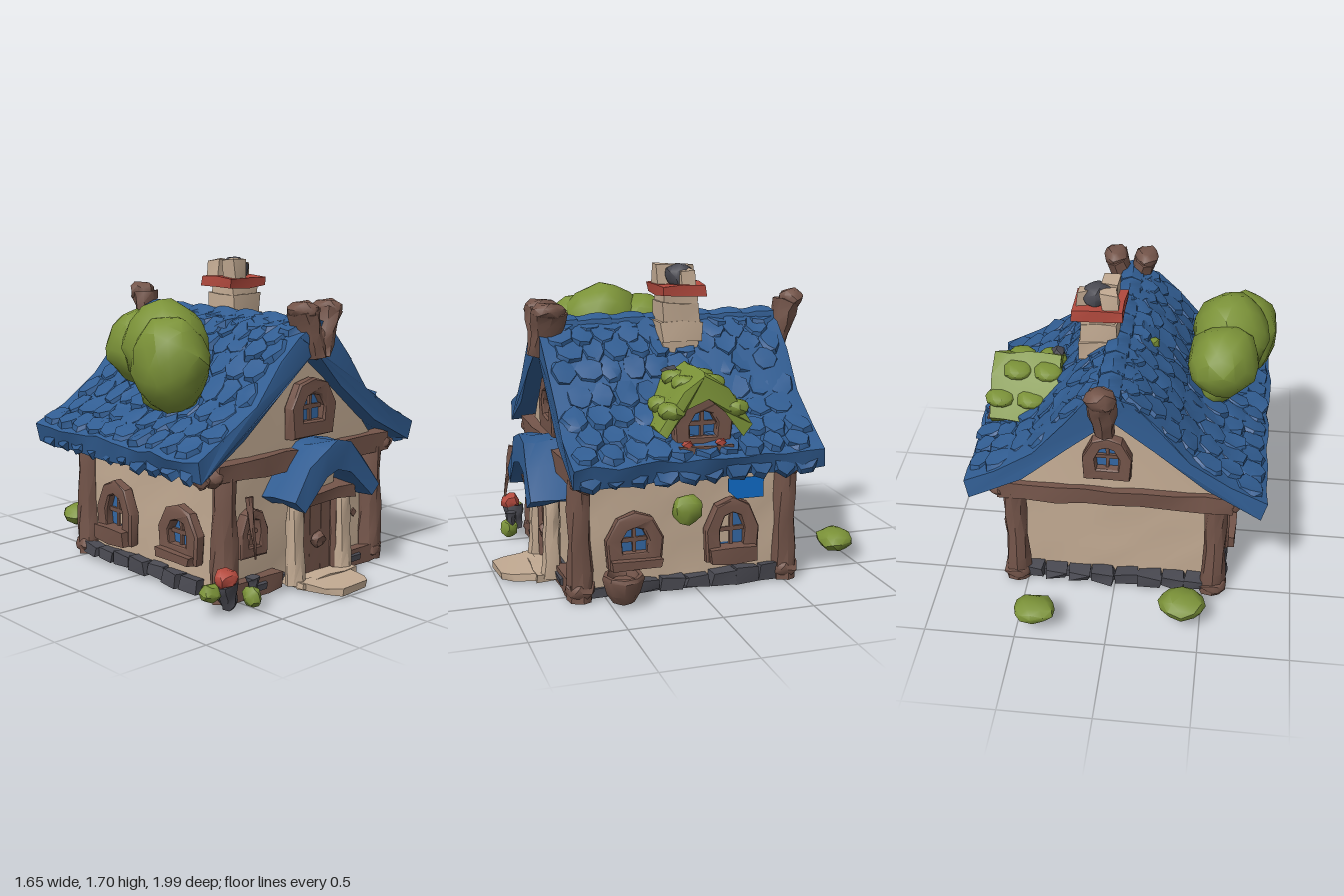
import * as THREE from 'three';
import { mergeGeometries, toCreasedNormals } from 'three/addons/utils/BufferGeometryUtils.js';

const mat = (name, color) => Object.assign(new THREE.MeshStandardMaterial({ color }), { name });

export function createModel() {
  const house = new THREE.Group();
  house.name = 'cottage';
  const M = {
    roof: mat('roof blue', 0x315d92), wood: mat('brown wood', 0x74554a), plaster: mat('plaster', 0xc3ab93),
    leaf: mat('leaf green', 0x7b9238), red: mat('clay red', 0xb34a3e), stone: mat('dark stone', 0x4a4a52),
    glass: mat('window blue', 0x3468a4), bright: mat('bright blue', 0x0f6cc8),
  };
  let seed = 7;
  const rnd = () => ((seed = (seed * 16807) % 2147483647) / 2147483647) - 0.5;

  // Hand-hewn look: shift vertices by a hash of their position, so shared corners stay joined
  const hash = (x, y, z) => { const s = Math.sin(x * 127.1 + y * 311.7 + z * 74.7) * 43758.5453; return s - Math.floor(s) - 0.5; };
  function rough(geo, amp, crease = 0.55) {
    const p = geo.attributes.position;
    for (let i = 0; i < p.count; i++) {
      const [x, y, z] = [p.getX(i), p.getY(i), p.getZ(i)].map(v => Math.round(v * 1000) / 1000 + 0);
      p.setXYZ(i, x + amp * 2 * hash(x, y, z), y + amp * 2 * hash(y, z, x + 3), z + amp * 2 * hash(z, x, y + 5));
    }
    return toCreasedNormals(geo, crease);
  }
  function add(parent, name, geo, material, x = 0, y = 0, z = 0) {
    const m = new THREE.Mesh(geo, material);
    m.name = name;
    m.position.set(x, y, z);
    parent.add(m);
    return m;
  }
  const box = (parent, name, m, w, h, d, x, y, z, amp = 0.008) => {
    const n = v => Math.max(1, Math.min(8, Math.round(v / 0.12)));
    return add(parent, name, rough(new THREE.BoxGeometry(w, h, d, n(w), n(h), n(d)), amp), m, x, y, z);
  };
  const blob = (parent, name, m, x, y, z, rx, ry, rz, detail = 1, amp = 0.008) =>
    add(parent, name, rough(new THREE.IcosahedronGeometry(1, detail).scale(rx, ry, rz), amp, 0.7), m, x, y, z);
  // Tapered log between two points
  function limb(parent, name, m, a, b, ra, rb, amp = 0.008) {
    const A = new THREE.Vector3(...a), B = new THREE.Vector3(...b), d = B.clone().sub(A);
    const o = add(parent, name, rough(new THREE.CylinderGeometry(rb, ra, d.length(), 8, 4), amp, 0.7), m);
    o.position.copy(A).add(B).multiplyScalar(0.5);
    o.quaternion.setFromUnitVectors(new THREE.Vector3(0, 1, 0), d.normalize());
    return o;
  }
  const shapeOf = pts => new THREE.Shape(pts.map(p => new THREE.Vector2(...p)));
  const mirror = pts => pts.filter(p => p[0] > 0).map(p => [-p[0], p[1]]);
  // Bent roof slab from half of its outer and inner outlines, ridge first
  function slab(outer, inner, z0, z1, steps, amp) {
    const s = shapeOf([...mirror(outer).reverse(), ...outer, ...[...inner].reverse(), ...mirror(inner)]);
    return rough(new THREE.ExtrudeGeometry(s, { depth: z1 - z0, steps, bevelEnabled: false }).translate(0, 0, z0), amp);
  }
  const side = (name, angle) => {
    const g = new THREE.Group();
    g.name = name;
    g.rotation.y = angle;
    house.add(g);
    return g;
  };

  // Window with arched wooden frame, panes, bars and sill; bottom centre at x, y
  function windowAt(parent, x, y, z, w, h, boxHeight = 0) {
    const g = new THREE.Group();
    g.name = 'window';
    g.position.set(x, y, z);
    parent.add(g);
    const arch = (w, h, b) => [[-w * 0.46, b], [w * 0.46, b], [w / 2, b + h * 0.52], [w * 0.3, b + h * 0.9], [0, b + h], [-w * 0.3, b + h * 0.9], [-w / 2, b + h * 0.52]];
    const t = w * 0.22, s = shapeOf(arch(w, h, 0)), inner = arch(w - 2 * t, h - 2 * t, t);
    s.holes.push(new THREE.Path(inner.map(p => new THREE.Vector2(...p))));
    add(g, 'windowFrame', rough(new THREE.ExtrudeGeometry(s, { depth: 0.045, bevelSize: 0.008, bevelThickness: 0.01, bevelSegments: 1 }), 0.004), M.wood);
    add(g, 'glass', new THREE.ExtrudeGeometry(shapeOf(inner), { depth: 0.008, bevelEnabled: false }), M.glass);
    box(g, 'uprightBar', M.wood, 0.018, h - t, 0.02, 0, h / 2, 0.015, 0.002);
    box(g, 'crossBar', M.wood, w - t, 0.022, 0.02, 0, h * 0.5, 0.015, 0.002);
    if (boxHeight) box(g, 'flowerBox', M.wood, w * 0.92, boxHeight, 0.09, 0, boxHeight / 2 - 0.01, 0.05);
    return g;
  }

  // Inset lower walls, gable block and floor
  box(house, 'lowerWalls', M.plaster, 1.11, 0.7, 1.09, 0, 0.38, 0.07, 0.007);
  const gable = shapeOf([[-0.55, 0.66], [0.55, 0.66], [0.55, 0.74], [0.46, 0.85], [0.22, 1.09], [0, 1.29], [-0.22, 1.09], [-0.46, 0.85], [-0.55, 0.74]]);
  add(house, 'gable', rough(new THREE.ExtrudeGeometry(gable, { depth: 1.165, steps: 6, bevelEnabled: false }).translate(0, 0, -0.54), 0.006), M.plaster);
  box(house, 'floor', M.stone, 1.14, 0.05, 1.14, 0, 0.03, 0.06, 0.004);

  // Corner posts, beams and foundation stones
  for (const s of [-1, 1]) {
    for (const z of [0.635, -0.515]) {
      limb(house, 'cornerPost', M.wood, [s * 0.555, 0.01, z], [s * 0.555, 0.66, z], 0.07, 0.06);
      blob(house, 'postFoot', M.wood, s * 0.56, 0.06, z, 0.08, 0.055, 0.085);
      blob(house, 'beamEnd', M.wood, s * 0.635, 0.67, z + 0.01 * Math.sign(z), 0.055, 0.055, 0.055);
    }
    blob(house, 'rafterEnd', M.wood, s * 0.695, 0.66, 0.62, 0.035, 0.045, 0.05);
    box(house, 'sideBeam', M.wood, 0.07, 0.06, 1.14, s * 0.57, 0.66, 0.06);
    for (let i = 0; i < 7; i++)
      box(house, 'foundationStone', M.stone, 0.09, 0.07 + rnd() * 0.03, 0.13, s * (0.57 + rnd() * 0.03), 0.055, -0.42 + i * 0.14, 0.012).rotation.y = rnd() * 0.25;
    box(house, 'frontSill', M.wood, 0.34, 0.085, 0.09, s > 0 ? 0.43 : -0.36, 0.055, 0.65);
    box(house, 'frontStone', M.stone, 0.13, 0.04, 0.02, s > 0 ? 0.35 : -0.38, 0.055, 0.695, 0.005);
  }
  for (let i = 0; i < 8; i++)
    box(house, 'foundationStone', M.stone, 0.125, 0.07 + rnd() * 0.03, 0.09, -0.47 + i * 0.135, 0.055, -0.51 + rnd() * 0.02, 0.012).rotation.y = rnd() * 0.25;
  for (const z of [0.645, -0.535]) box(house, 'gableBeam', M.wood, 1.28, 0.1, 0.09, 0, 0.685, z, 0.01);

  // Main roof: slab, overlapping scales and ridge roll
  const top = [[0, 1.39], [0.12, 1.345], [0.25, 1.225], [0.42, 1.02], [0.62, 0.88], [0.81, 0.78]];
  const under = [[0, 1.24], [0.22, 1.06], [0.49, 0.83], [0.78, 0.67]];
  add(house, 'roofSlab', slab(top, under, -0.64, 0.72, 12, 0.014), M.roof);
  const tiles = [];
  const lerpTop = t => {
    const i = Math.min(4, Math.floor(t * 5)), f = t * 5 - i, [a, b] = [top[i], top[i + 1]];
    return { x: a[0] + (b[0] - a[0]) * f, y: a[1] + (b[1] - a[1]) * f, slope: Math.atan2(b[1] - a[1], b[0] - a[0]) };
  };
  const tile = (s, x, y, z, tilt) => {
    const g = new THREE.CylinderGeometry(0.08, 0.1, 0.032, 7);
    g.rotateY(rnd() * 2).scale(0.95 + rnd() * 0.25, 1, 0.8 + rnd() * 0.2);
    g.rotateX(rnd() * 0.16).rotateZ(tilt).translate(x, y, z);
    if (s < 0) g.rotateY(Math.PI).translate(0, 0, 0.08);
    tiles.push(rough(g, 0.008, 0.6));
  };
  for (const s of [-1, 1]) for (let c = 0; c < 10; c++) {
    for (let r = 0; r < 8; r++) {
      const p = lerpTop(0.12 + r * 0.115);
      tile(s, p.x - 0.015, p.y + 0.009, -0.545 + c * 0.125 + (r % 2) * 0.05 + rnd() * 0.02, p.slope + 0.08 + rnd() * 0.14);
    }
    tile(s, 0.765, 0.735, -0.54 + c * 0.13 + rnd() * 0.02, -1.15 + rnd() * 0.2);
  }
  add(house, 'roofTiles', mergeGeometries(tiles), M.roof);
  for (let i = 0; i < 7; i++)
    limb(house, 'ridgeTile', M.roof, [0.02, 1.345, -0.63 + i * 0.19], [0.02, 1.345, -0.42 + i * 0.19], 0.083, 0.078);

  // Carved ridge horns
  for (const s of [-1, 1]) {
    limb(house, 'frontHorn', M.wood, [0.04 + s * 0.015, 1.22, 0.69], [0.04 + s * 0.085, 1.46, 0.675], 0.055, 0.07).scale.z = 1.5;
    blob(house, 'frontHornTip', M.wood, 0.04 + s * 0.09, 1.465, 0.68, 0.07, 0.05, 0.1);
  }
  blob(house, 'hornRoot', M.wood, 0.045, 1.3, 0.69, 0.085, 0.1, 0.06);
  limb(house, 'backHorn', M.wood, [0.03, 1.21, -0.67], [0.04, 1.46, -0.73], 0.055, 0.08);
  blob(house, 'backHornTip', M.wood, 0.04, 1.47, -0.75, 0.078, 0.06, 0.072);

  // Chimney
  for (let i = 0; i < 3; i++)
    box(house, 'chimneyCourse', M.plaster, 0.2 + (i % 2) * 0.02, 0.11, 0.21 + (i % 2) * 0.02, 0.13, 1.24 + i * 0.1, -0.03, 0.01);
  box(house, 'chimneyNeck', M.plaster, 0.18, 0.08, 0.18, 0.13, 1.52, -0.03, 0.008);
  box(house, 'chimneyBand', M.red, 0.27, 0.06, 0.25, 0.13, 1.565, -0.035, 0.008);
  for (const [x, z, w, h] of [[0.07, -0.1, 0.08, 0.1], [0.08, 0.03, 0.1, 0.11], [0.215, -0.06, 0.07, 0.09]])
    box(house, 'chimneyStone', M.plaster, w, h, w, x, 1.58 + h / 2, z, 0.012);
  blob(house, 'chimneyCoal', M.stone, 0.145, 1.635, -0.045, 0.08, 0.07, 0.075);

  // Front face: windows, door and porch
  const front = side('front', 0);
  windowAt(front, 0.04, 0.8, 0.635, 0.32, 0.3);
  windowAt(front, -0.37, 0.22, 0.615, 0.18, 0.24);
  box(front, 'wallOrnament', M.wood, 0.035, 0.035, 0.008, 0.44, 0.29, 0.622, 0).rotation.z = Math.PI / 4;
  for (let i = 0; i < 3; i++) box(front, 'doorPlank', M.wood, 0.085, 0.4, 0.04, -0.025 + i * 0.085, 0.25, 0.67, 0.004);
  blob(front, 'doorKnob', M.wood, 0.06, 0.23, 0.71, 0.05, 0.045, 0.03);
  for (const x of [-0.125, 0.24]) {
    limb(front, 'porchColumn', M.plaster, [x, 0.02, 0.72], [x, 0.46, 0.71], 0.055, 0.042);
    limb(front, 'doorPost', M.wood, [x * 0.7 + 0.02, 0.05, 0.7], [x * 0.7 + 0.02, 0.46, 0.7], 0.02, 0.02, 0.004);
  }
  box(front, 'porchBeam', M.wood, 0.4, 0.065, 0.14, 0.06, 0.485, 0.72);
  const porch = slab([[0, 0.785], [0.1, 0.77], [0.2, 0.67], [0.33, 0.51]], [[0, 0.64], [0.1, 0.61], [0.25, 0.46]], 0.6, 0.85, 3, 0.012);
  add(front, 'porchRoof', porch, M.roof, 0.06);
  box(front, 'porchGable', M.plaster, 0.26, 0.14, 0.06, 0.06, 0.57, 0.67);
  const step = shapeOf([[-0.14, -0.75], [0.24, -0.75], [0.2, -0.92], [0.15, -0.98], [-0.05, -0.99], [-0.1, -0.93]]);
  add(front, 'doorStep', rough(new THREE.ExtrudeGeometry(step, { depth: 0.04, bevelEnabled: false }).rotateX(-Math.PI / 2), 0.006), M.plaster, 0, 0.005, 0);
  box(front, 'threshold', M.plaster, 0.42, 0.04, 0.14, 0.06, 0.03, 0.73);

  // Back face
  windowAt(side('back', Math.PI), -0.03, 0.83, 0.54, 0.25, 0.27);

  // Side walls with two windows each
  const right = side('plusXSide', Math.PI / 2), left = side('minusXSide', -Math.PI / 2);
  for (const [g, s] of [[right, 1], [left, -1]]) {
    windowAt(g, -0.35 * s, 0.18, 0.575, 0.29, 0.28, 0.05);
    const w = windowAt(g, 0.19 * s, 0.16, 0.575, 0.29, 0.33, 0.09);
    box(w, 'curtain', M.plaster, 0.06, 0.15, 0.008, -0.04 * s, 0.165, 0.01, 0);
  }
  const cloth = shapeOf([[0.15, 0.62], [0.15, 0.55], [0.2, 0.505], [0.35, 0.505], [0.35, 0.62]]);
  add(right, 'hangingCloth', new THREE.ExtrudeGeometry(cloth, { depth: 0.006, bevelEnabled: false }), M.bright, 0, 0, 0.65);

  // Leaf-covered dormer
  const dormer = shapeOf([[-0.15, 0.78], [0.15, 0.78], [0.17, 0.95], [0, 1.12], [-0.17, 0.95]]);
  add(right, 'dormerWall', new THREE.ExtrudeGeometry(dormer, { depth: 0.3, bevelEnabled: false }).translate(0, 0, 0.36), M.wood);
  windowAt(right, -0.01, 0.8, 0.66, 0.3, 0.28);
  box(right, 'dormerBox', M.wood, 0.28, 0.07, 0.09, -0.01, 0.8, 0.72);
  for (const x of [-0.11, 0.07]) blob(right, 'dormerFlower', M.red, x, 0.85, 0.75, 0.03, 0.022, 0.022, 0, 0.004);
  const dormerRoof = slab([[0, 1.2], [0.12, 1.115], [0.26, 0.92]], [[0, 1.08], [0.1, 1.01], [0.21, 0.87]], 0.36, 0.73, 4, 0.014);
  add(right, 'dormerRoof', dormerRoof, M.leaf);
  for (const s of [-1, 1]) for (let i = 0; i < 4; i++)
    blob(right, 'dormerLeaves', M.leaf, s * (0.07 + (i % 2) * 0.1), 1.13 - (i % 2) * 0.12, 0.42 + i * 0.085, 0.08, 0.05, 0.08, 1, 0.006);
  blob(right, 'dormerStone', M.stone, -0.09, 1.16, 0.39, 0.045, 0.03, 0.045, 0);

  // Tree crown above the roof
  blob(house, 'treeCrown', M.leaf, -0.54, 1.25, -0.02, 0.19, 0.2, 0.22, 2, 0.012);
  blob(house, 'treeCrown', M.leaf, -0.57, 1.28, 0.2, 0.21, 0.24, 0.24, 2, 0.012);
  blob(house, 'treeCrown', M.leaf, -0.64, 1.21, 0.33, 0.19, 0.25, 0.21, 2, 0.012);
  blob(house, 'treeCrown', M.leaf, -0.5, 1.07, 0.16, 0.13, 0.18, 0.22, 2, 0.012);
  blob(house, 'roofSprig', M.leaf, -0.16, 1.325, 0, 0.04, 0.03, 0.05, 0);

  // Bushes
  blob(house, 'bush', M.leaf, -0.4, 0.15, -0.79, 0.13, 0.07, 0.11);
  blob(house, 'bush', M.leaf, 0.4, 0.13, -0.9, 0.12, 0.06, 0.1);
  blob(house, 'wallBush', M.leaf, 0.66, 0.475, 0.08, 0.06, 0.085, 0.085);

  // Wooden tub
  const tub = [[0, 0], [0.055, 0], [0.09, 0.05], [0.11, 0.13], [0.105, 0.15], [0.085, 0.15], [0.075, 0.11], [0, 0.11]].map(p => new THREE.Vector2(...p));
  add(house, 'tub', rough(new THREE.LatheGeometry(tub, 9), 0.003, 0.7), M.wood, 0.685, 0.02, 0.435);

  // Flower pots and stake by the front corner
  limb(house, 'flowerPot', M.stone, [-0.62, 0.03, 0.75], [-0.66, 0.16, 0.76], 0.04, 0.06);
  blob(house, 'redFlower', M.red, -0.67, 0.19, 0.775, 0.065, 0.052, 0.055);
  blob(house, 'potLeaves', M.leaf, -0.73, 0.12, 0.73, 0.06, 0.05, 0.05);
  blob(house, 'smallPlant', M.leaf, -0.52, 0.07, 0.81, 0.045, 0.055, 0.05);
  limb(house, 'smallPot', M.stone, [-0.51, 0.09, 0.8], [-0.51, 0.17, 0.8], 0.02, 0.035, 0.004);
  limb(house, 'stake', M.wood, [-0.52, 0.27, 0.83], [-0.52, 0.58, 0.78], 0.006, 0.022, 0.003);
  return house;
}
